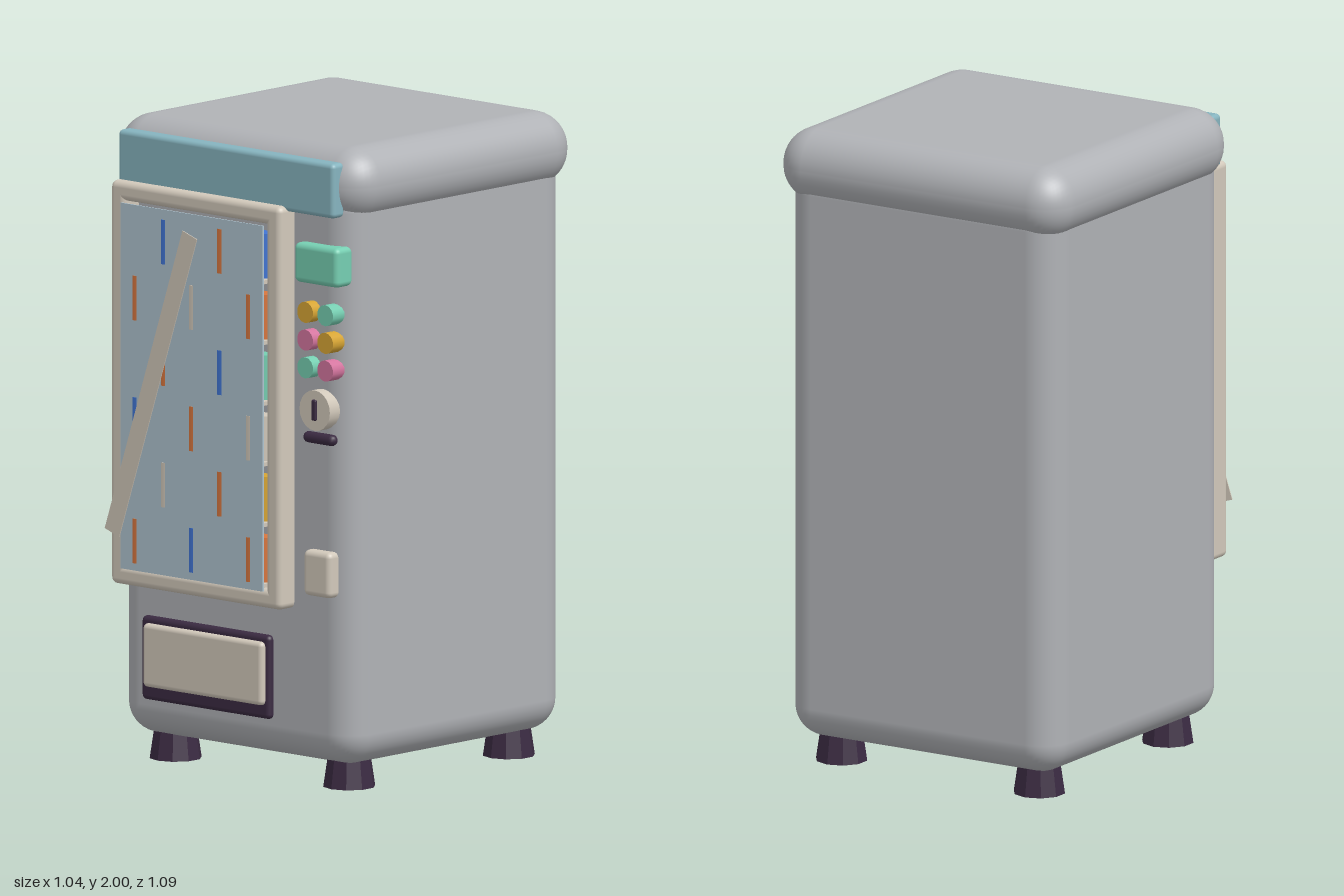
import * as THREE from 'three';
import { RoundedBoxGeometry } from 'three/addons/geometries/RoundedBoxGeometry.js';

const mat = (name, color, flatShading = false) => {
  const m = new THREE.MeshStandardMaterial({ color, flatShading });
  m.name = name;
  return m;
};

export function createModel() {
  const root = new THREE.Group();
  root.name = 'vendingMachine';
  const grey = mat('casing grey', 0xb0b2b6);
  const teal = mat('sign teal', 0x86b4bf);
  const cream = mat('cream trim', 0xd2c9bb);
  const glass = mat('window glass', 0xb0c5d1);
  const dark = mat('dark plum', 0x3b2b42);
  const green = mat('mint green', 0x76cfb2);
  const gold = mat('gold', 0xd8a634);
  const pink = mat('pink', 0xd676a0);
  const blue = mat('blue', 0x4176d6);
  const orange = mat('orange', 0xd9773f);

  const add = (name, geometry, material, x, y, z, parent = root) => {
    const mesh = new THREE.Mesh(geometry, material);
    mesh.name = name;
    mesh.position.set(x, y, z);
    parent.add(mesh);
    return mesh;
  };
  // Rounded box given by its extents on each axis
  const rounded = (name, material, [x0, x1], [y0, y1], [z0, z1], radius, parent = root, segments = 3) =>
    add(name, new RoundedBoxGeometry(x1 - x0, y1 - y0, z1 - z0, segments, radius), material,
      (x0 + x1) / 2, (y0 + y1) / 2, (z0 + z1) / 2, parent);
  const group = (name) => {
    const g = new THREE.Group();
    g.name = name;
    root.add(g);
    return g;
  };

  // Casing
  rounded('body', grey, [-0.49, 0.49], [0.08, 1.9], [-0.52, 0.46], 0.1, root, 5);
  rounded('topCap', grey, [-0.522, 0.522], [1.768, 2], [-0.547, 0.475], 0.113, root, 5);
  rounded('signPanel', teal, [-0.45, 0.445], [1.79, 1.96], [0.44, 0.495], 0.015);

  // Tapered feet
  const footGeometry = new THREE.CylinderGeometry(0.063, 0.081, 0.12, 10).toNonIndexed();
  footGeometry.computeVertexNormals();
  for (const x of [-0.36, 0.36])
    for (const z of [-0.39, 0.33]) add('foot', footGeometry, dark, x, 0.06, z);

  // Window frame
  const frame = group('windowFrame');
  const depth = [0.43, 0.525];
  for (const [x0, x1] of [[-0.455, -0.393], [0.19, 0.252]])
    rounded('frameSide', cream, [x0, x1], [0.555, 1.807], depth, 0.02, frame);
  for (const [y0, y1] of [[0.555, 0.615], [1.747, 1.807]])
    rounded('frameRail', cream, [-0.455, 0.252], [y0, y1], depth, 0.02, frame);

  // Shelves of cans, alternate ones just touching through the pane
  const goods = group('goods');
  const columns = [-0.336, -0.219, -0.102, 0.015, 0.134];
  const rows = [
    [gold, blue, green, orange, blue],
    [orange, green, cream, gold, orange],
    [green, orange, gold, blue, green],
    [blue, gold, orange, green, cream],
    [gold, cream, green, orange, gold],
    [orange, green, blue, gold, orange],
  ];
  const canGeometry = new THREE.CylinderGeometry(0.055, 0.055, 0.138, 8);
  rows.forEach((row, r) => {
    const y = 1.645 - r * 0.1885;
    row.forEach((material, c) =>
      add('can', canGeometry, material, columns[c], y, (r + c) % 2 ? 0.4895 : 0.483, goods));
    add('shelf', new THREE.BoxGeometry(0.585, 0.012, 0.08), cream, -0.1, y - 0.076, 0.495, goods);
  });

  // Pane with a slanted glare strip
  add('windowPane', new THREE.BoxGeometry(0.59, 1.135, 0.005), glass, -0.1, 1.178, 0.5385);
  add('glareStrip', new THREE.BoxGeometry(0.063, 1.015, 0.003), cream, -0.264, 1.2, 0.5455)
    .rotation.z = -0.323;

  // Control column
  const controls = group('controls');
  rounded('display', green, [0.28, 0.463], [1.577, 1.7], [0.42, 0.497], 0.018, controls);
  const buttonGeometry = new THREE.CylinderGeometry(0.033, 0.033, 0.075, 14).rotateX(Math.PI / 2);
  [[gold, green], [pink, gold], [green, pink]].forEach((pair, r) => pair.forEach((material, c) =>
    add('button', buttonGeometry, material, 0.33 + c * 0.083, 1.488 - r * 0.086, 0.459, controls)));
  add('coinDial', new THREE.CylinderGeometry(0.063, 0.063, 0.075, 20).rotateX(Math.PI / 2),
    cream, 0.37, 1.188, 0.459, controls);
  rounded('coinSlot', dark, [0.361, 0.379], [1.157, 1.222], [0.48, 0.504], 0.005, controls);
  add('noteSlot', new THREE.CapsuleGeometry(0.018, 0.094, 4, 10).rotateZ(Math.PI / 2),
    dark, 0.37, 1.098, 0.47, controls);
  rounded('changeDoor', cream, [0.315, 0.428], [0.608, 0.75], [0.43, 0.493], 0.018, controls);

  // Delivery hatch
  rounded('hatchSurround', dark, [-0.367, 0.165], [0.2, 0.46], [0.42, 0.48], 0.015);
  rounded('hatchFlap', cream, [-0.347, 0.15], [0.243, 0.44], [0.44, 0.498], 0.015);

  return root;
}
